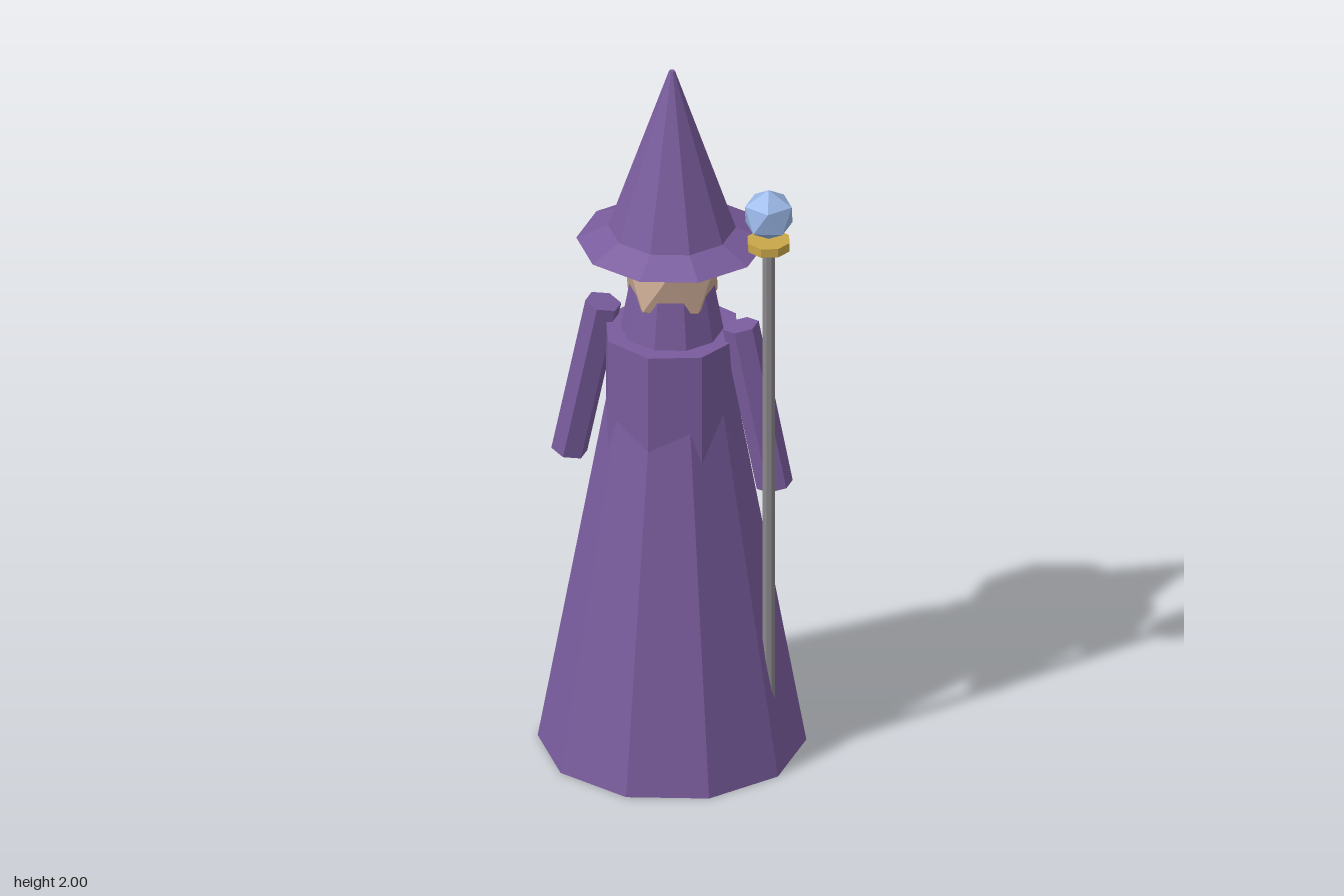
import * as THREE from 'three';

const flat = (name, color) => {
  const m = new THREE.MeshStandardMaterial({ color, flatShading: true });
  m.name = name;
  return m;
};

export function createModel() {
  const cloth = flat('purple cloth', 0x795c9d);
  const skin = flat('skin', 0xc8a892);
  const metal = flat('grey staff', 0x8a888a);
  const gold = flat('gold', 0xc9a648);
  const crystal = flat('blue crystal', 0x9bb8e8);

  const model = new THREE.Group();
  model.name = 'wizard';

  const add = (name, geometry, material, x, y, z, parent) => {
    const mesh = new THREE.Mesh(geometry, material);
    mesh.name = name;
    mesh.position.set(x, y, z);
    parent.add(mesh);
    return mesh;
  };

  // Upright frustum given by its bottom and top heights
  const frustum = (name, material, rBottom, rTop, y0, y1, sides, parent, x = 0, z = 0) =>
    add(name, new THREE.CylinderGeometry(rTop, rBottom, y1 - y0, sides), material, x, (y0 + y1) / 2, z, parent);

  // Icosahedron standing on a corner
  const gem = (r) => new THREE.IcosahedronGeometry(r, 0).rotateZ(-Math.atan(2 / (1 + Math.sqrt(5))));

  // Body
  const figure = new THREE.Group();
  figure.name = 'figure';
  figure.position.x = -0.01;
  model.add(figure);
  frustum('robe', cloth, 0.355, 0.088, 0, 1.5, 10, figure);
  frustum('shoulders', cloth, 0.186, 0.186, 0.7, 1.23, 8, figure);
  add('head', gem(0.14), skin, 0, 1.39, 0, figure);

  // Arms slope outward from the shoulders
  for (const side of [-1, 1]) {
    const arm = add(side > 0 ? 'leftArm' : 'rightArm',
      new THREE.CylinderGeometry(0.049, 0.049, 0.47, 6), cloth, side * 0.241, 1.042, 0, figure);
    arm.rotation.z = side * 0.205;
  }

  // Pointed hat
  const hat = new THREE.Group();
  hat.name = 'hat';
  figure.add(hat);
  frustum('hatBrim', cloth, 0.253, 0.166, 1.495, 1.535, 10, hat);
  frustum('hatCone', cloth, 0.17, 0.008, 1.53, 2, 10, hat);

  // Staff with collar and crystal
  const staff = new THREE.Group();
  staff.name = 'staff';
  staff.position.set(0.277, 0, 0.042);
  model.add(staff);
  frustum('staffPole', metal, 0.018, 0.018, 0.1, 1.55, 8, staff);
  frustum('staffCollar', gold, 0.059, 0.059, 1.543, 1.568, 8, staff);
  add('staffCrystal', gem(0.073), crystal, 0, 1.643, 0, staff);

  return model;
}
